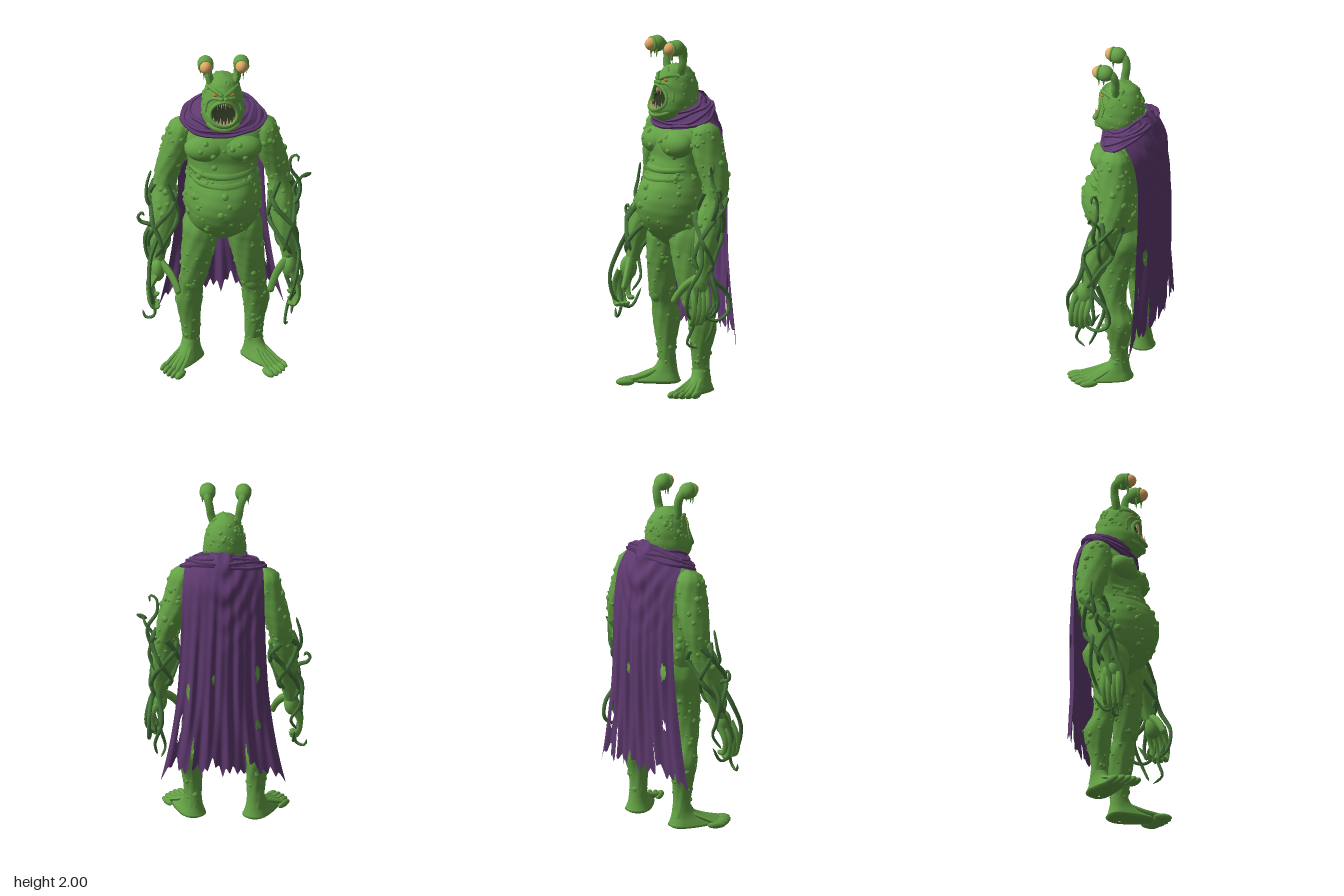
import * as THREE from 'three';
import { mergeGeometries } from 'three/addons/utils/BufferGeometryUtils.js';

const mat = (name, color, side = THREE.FrontSide) => {
  const m = new THREE.MeshStandardMaterial({ color, side });
  m.name = name;
  return m;
};
const V = (x, y, z) => new THREE.Vector3(x, y, z);

// smooth interpolation of rows [key, a, b, ...] with increasing key
function track(rows) {
  const n = rows[0].length - 1;
  const it = new THREE.CubicInterpolant(rows.map(r => r[0]), rows.flatMap(r => r.slice(1)), n);
  return t => Array.from(it.evaluate(t)).slice(0, n);
}

// body form from level rings [y, cx, cz, halfWidth, front, back], listed bottom to top
function loft(rows, { seg = 36, steps = 40, s = 1, bump = 0.015, warp, inside } = {}) {
  const f = track(rows), y0 = rows[0][0], y1 = rows[rows.length - 1][0];
  const at = (y, a, k = 1) => {
    const [cx, cz, rx, rf, rb] = f(y);
    const w = k * (1 + bump * Math.sin(a * 5 + y * 37) * Math.cos(y * 61 - a * 3));
    const rz = Math.cos(a) > 0 ? rf : rb;
    return V(s * cx + Math.max(rx, 0.0005) * w * Math.sin(a), y, cz + Math.max(rz, 0.0005) * w * Math.cos(a));
  };
  const pos = [], main = [], inner = [];
  for (let j = 0; j <= steps; j++) for (let i = 0; i < seg; i++) {
    const p = at(y0 + (y1 - y0) * j / steps, i / seg * Math.PI * 2);
    if (warp) warp(p);
    pos.push(p.x, p.y, p.z);
  }
  for (let j = 0; j < steps; j++) for (let i = 0; i < seg; i++) {
    const a = j * seg + i, b = j * seg + (i + 1) % seg, c = b + seg, d = a + seg;
    const isIn = inside && inside(V(pos[3 * a], pos[3 * a + 1], pos[3 * a + 2]));
    (isIn ? inner : main).push(a, b, c, a, c, d);
  }
  const geo = new THREE.BufferGeometry();
  geo.setAttribute('position', new THREE.Float32BufferAttribute(pos, 3));
  geo.setIndex([...main, ...inner]);
  geo.addGroup(0, main.length, 0);
  if (inner.length) geo.addGroup(main.length, inner.length, 1);
  geo.computeVertexNormals();
  return { geo, at, f };
}

// tapering tube through points, rounded off at its tip
function vine(pts, r0, r1, closed = false, seg = 28, rs = 6) {
  const path = new THREE.CatmullRomCurve3(pts.map(p => Array.isArray(p) ? V(...p) : p), closed);
  const geo = new THREE.TubeGeometry(path, seg, 1, rs, closed), P = geo.attributes.position, p = V();
  for (let i = 0; i < P.count; i++) {
    const t = Math.floor(i / (rs + 1)) / seg, c = path.getPointAt(t);
    const r = closed ? r0 : (r0 + (r1 - r0) * t) * Math.sqrt(Math.max(0.002, Math.min(1, (1 - t) * 14)));
    p.fromBufferAttribute(P, i).sub(c).multiplyScalar(r).add(c);
    P.setXYZ(i, p.x, p.y, p.z);
  }
  geo.computeVertexNormals();
  return geo;
}
const ball = (x, y, z, a, b = a, c = a, w = 16) => new THREE.SphereGeometry(1, w, Math.ceil(w * 0.7)).scale(a, b, c).translate(x, y, z);
const spike = (x, y, z, r, h) => new THREE.ConeGeometry(r, Math.abs(h), 7).rotateX(h < 0 ? Math.PI : 0).translate(x, y, z);

export function createModel() {
  const root = new THREE.Group();
  root.name = 'swampCreature';
  const skin = mat('skinGreen', 0x64a145), vineGreen = mat('vineGreen', 0x47753b);
  const cloth = mat('capePurple', 0x5f3a70, THREE.DoubleSide), dark = mat('mouthDark', 0x29331f);
  const amber = mat('eyeAmber', 0xe0aa66), ember = mat('faceEyeOrange', 0xd0742e), bone = mat('toothBone', 0xcbb37a);
  const add = (name, geo, m) => {
    const mesh = new THREE.Mesh(Array.isArray(geo) ? mergeGeometries(geo) : geo, m);
    mesh.name = name;
    root.add(mesh);
  };
  let seed = 7;
  const rnd = () => (seed = (seed * 16807) % 2147483647) / 2147483647;

  // half-sunk warts scattered over a lofted form
  const warts = (name, form, n, lo, hi, big, ok = () => true) => {
    const list = [];
    for (let i = 0; i < n; i++) {
      const y = lo + (hi - lo) * rnd(), a = rnd() * Math.PI * 2, r = big * (0.45 + 0.55 * rnd() ** 2);
      const p = form.at(y, a), core = form.at(y, a, 0);
      if (!ok(p)) continue;
      p.lerp(core, 0.5 * r / p.distanceTo(core));
      list.push(ball(p.x, p.y, p.z, r, r, r, 8));
    }
    add(name, list, skin);
  };

  // torso with pot belly
  const torso = loft([[0.79, 0, 0, 0.02, 0.02, 0.04], [0.82, 0, 0, 0.07, 0.07, 0.09], [0.86, 0, 0, 0.13, 0.125, 0.13],
    [0.92, 0, 0, 0.185, 0.19, 0.15], [1.0, 0, 0, 0.21, 0.235, 0.14], [1.08, 0, 0, 0.217, 0.248, 0.125],
    [1.16, 0, 0, 0.208, 0.225, 0.115], [1.24, 0, 0, 0.195, 0.17, 0.11], [1.32, 0, 0, 0.2, 0.14, 0.12],
    [1.4, 0, 0, 0.215, 0.14, 0.13], [1.47, 0, 0, 0.215, 0.115, 0.13], [1.53, 0, 0, 0.17, 0.07, 0.11], [1.6, 0, 0, 0.085, 0.06, 0.08]],
  { seg: 52, steps: 54, bump: 0.01 });
  add('torso', torso.geo, skin);
  warts('torsoWarts', torso, 130, 0.88, 1.46, 0.025);
  add('chestMuscles', [1, -1].map(s => ball(s * 0.098, 1.408, 0.075, 0.12, 0.078, 0.083, 28)), skin);
  add('bellyFolds', [1.285, 1.235].map(y => vine([-1.3, -0.8, -0.4, 0, 0.4, 0.8, 1.3].map(a =>
    torso.at(y - 0.03 * Math.cos(a), a, 0.925)), 0.022, 0.022)), skin);
  add('chestWarts', [[0.05, 1.43, 0.143], [-0.06, 1.39, 0.148], [0.12, 1.38, 0.146], [-0.13, 1.42, 0.144], [0.09, 1.45, 0.135], [-0.1, 1.46, 0.13]]
    .map(p => ball(...p, 0.017, 0.017, 0.017, 10)), skin);

  // head with hollow mouth
  const mouthHalf = y => 0.078 - 0.28 * (y - 1.655);
  const mouthD = p => p.z < 0.03 ? 9 : (p.x / mouthHalf(p.y)) ** 2 + ((p.y - 1.667) / 0.07) ** 2;
  const head = loft([[1.515, 0, 0.05, 0.02, 0.03, 0.04], [1.54, 0, 0.035, 0.078, 0.1, 0.1], [1.58, 0, 0.03, 0.11, 0.14, 0.12],
    [1.63, 0, 0.02, 0.121, 0.155, 0.125], [1.7, 0, 0.02, 0.114, 0.125, 0.13], [1.75, 0, 0.02, 0.102, 0.117, 0.122],
    [1.8, 0, 0.02, 0.08, 0.09, 0.098], [1.835, 0, 0.02, 0.048, 0.055, 0.06], [1.852, 0, 0.02, 0, 0, 0]],
  { seg: 84, steps: 68, bump: 0.012, inside: p => mouthD(p) < 1,
    warp: p => { const m = mouthD(p); if (m < 1) p.z -= 0.065 * Math.sqrt(1 - m); } });
  add('head', head.geo, [skin, dark]);
  const onFace = (x, y, out = 0) => {
    const p = head.at(y, Math.asin(Math.max(-1, Math.min(1, x / head.f(y)[2]))));
    p.z += out;
    return p;
  };
  warts('headWarts', head, 90, 1.56, 1.83, 0.019, p => p.z < 0.07 || p.y > 1.8);
  const rim = [];
  for (let i = 0; i < 20; i++) {
    const t = i / 20 * Math.PI * 2, y = 1.667 + 0.07 * Math.sin(t);
    rim.push(onFace(mouthHalf(y) * Math.cos(t), y));
  }
  add('lips', vine(rim, 0.011, 0.011, true, 60), skin);
  add('chinFold', vine([-0.09, -0.05, 0, 0.05, 0.09].map(x => onFace(x, 1.567 + 3 * x * x)), 0.016, 0.012), skin);
  const teeth = [];
  for (let i = -3; i <= 3; i++) {
    const lo = onFace(i * 0.019, 1.612), up = onFace(i * 0.012, 1.715), h = i % 2 ? 0.046 : 0.028;
    teeth.push(spike(lo.x, 1.608 + h / 2, lo.z - 0.008, 0.008, h), spike(up.x, 1.724 - h / 2, up.z - 0.01, 0.006, -h));
  }
  add('teeth', teeth, bone);
  add('nose', [1, -1].map(s => ball(s * 0.013, 1.752, 0.137, 0.016, 0.013, 0.014)), skin);
  for (const s of [1, -1]) {
    const side = s > 0 ? 'left' : 'right';
    const e = onFace(s * 0.046, 1.768);
    add(side + 'FaceEye', ball(e.x, e.y, e.z, 0.016, 0.01, 0.01), ember);
    add(side + 'Brow', vine([onFace(s * 0.082, 1.79), onFace(s * 0.05, 1.79, 0.006), onFace(s * 0.004, 1.768, 0.008)], 0.012, 0.012), skin);
    add(side + 'Cheek', vine([onFace(s * 0.02, 1.75), onFace(s * 0.06, 1.746), onFace(s * 0.088, 1.71), onFace(s * 0.1, 1.65)], 0.01, 0.008), skin);

    // eye stalk, hood and eyeball
    add(side + 'EyeStalk', [vine([[s * 0.06, 1.79, 0.03], [s * 0.078, 1.84, 0.03], [s * 0.085, 1.89, 0.025], [s * 0.097, 1.94, 0.035], [s * 0.1, 1.965, 0.07]], 0.025, 0.023),
      ball(s * 0.1, 1.953, 0.082, 0.045, 0.047, 0.05, 24), spike(s * 0.075, 1.9, 0.1, 0.009, -0.05),
      spike(s * 0.11, 1.895, 0.115, 0.008, -0.06), spike(s * 0.128, 1.905, 0.08, 0.008, -0.04),
      new THREE.TorusGeometry(0.036, 0.008, 8, 28).translate(s * 0.1, 1.953, 0.115)], skin);
    add(side + 'Eyeball', ball(s * 0.1, 1.952, 0.118, 0.034, 0.037, 0.04, 24), amber);

    // leg and foot
    const leg = loft([[0.07, 0.175, -0.045, 0.046, 0.045, 0.05], [0.15, 0.175, -0.035, 0.049, 0.05, 0.046], [0.25, 0.18, -0.03, 0.056, 0.055, 0.058],
      [0.33, 0.186, -0.03, 0.068, 0.066, 0.08], [0.4, 0.187, -0.025, 0.076, 0.07, 0.093], [0.47, 0.178, -0.01, 0.068, 0.062, 0.07], [0.53, 0.167, 0.005, 0.075, 0.07, 0.07],
      [0.6, 0.155, 0.01, 0.08, 0.08, 0.078], [0.7, 0.142, 0.01, 0.09, 0.097, 0.09], [0.8, 0.126, 0.01, 0.1, 0.105, 0.12],
      [0.9, 0.115, 0.005, 0.105, 0.11, 0.155], [1.0, 0.11, 0, 0.07, 0.06, 0.1]], { s, bump: 0.04 });
    add(side + 'Leg', leg.geo, skin);
    warts(side + 'LegWarts', leg, 70, 0.12, 0.85, 0.02);
    add(side + 'Knee', ball(s * 0.168, 0.525, 0.035, 0.05, 0.055, 0.042), skin);
    const foot = loft([[0, 0, 0, 0.005, 0.005, 0.005], [0.012, 0, 0, 0.064, 0.195, 0.068], [0.035, 0, 0, 0.066, 0.195, 0.068],
      [0.065, 0, 0, 0.056, 0.13, 0.06], [0.1, 0, 0, 0.05, 0.075, 0.054], [0.14, 0, 0, 0.047, 0.05, 0.05]], { steps: 14, bump: 0 }).geo;
    const toes = [-2, -1, 0, 1, 2].map(i => ball(i * 0.031, 0.021, 0.228 - 0.012 * i - 0.004 * i * i, i < -1 ? 0.022 : 0.016, 0.02, 0.052, 12));
    toes.push(...[-2, -1, 0, 1, 2].map(i => vine([[i * 0.012, 0.09, 0.05], [i * 0.022, 0.055, 0.13], [i * 0.03, 0.025, 0.225 - 0.012 * i]], 0.013, 0.011)));
    const toeGeo = mergeGeometries(toes);
    for (const g of [foot, toeGeo]) {
      g.rotateY(0.55).translate(0.175, 0, -0.035);
      if (s > 0) continue;
      g.scale(-1, 1, 1);
      const ix = g.index.array;
      for (let i = 0; i < ix.length; i += 3) [ix[i], ix[i + 1]] = [ix[i + 1], ix[i]];
      g.computeVertexNormals();
    }
    add(side + 'Foot', foot, skin);
    add(side + 'Toes', toeGeo, skin);

    // arm and hand
    const arm = loft([[0.68, 0.368, 0.08, 0.034, 0.036, 0.036], [0.76, 0.36, 0.06, 0.046, 0.048, 0.046], [0.85, 0.35, 0.045, 0.062, 0.066, 0.065],
      [0.95, 0.335, 0.02, 0.071, 0.074, 0.074], [1.05, 0.325, -0.01, 0.072, 0.075, 0.075], [1.12, 0.32, -0.035, 0.064, 0.068, 0.07],
      [1.2, 0.307, -0.048, 0.07, 0.08, 0.077], [1.3, 0.277, -0.045, 0.08, 0.095, 0.087], [1.4, 0.252, -0.035, 0.078, 0.098, 0.088],
      [1.47, 0.242, -0.03, 0.068, 0.088, 0.082], [1.52, 0.235, -0.03, 0.053, 0.062, 0.06], [1.55, 0.225, -0.03, 0.005, 0.005, 0.005]], { s, bump: 0.04 });
    add(side + 'Arm', arm.geo, skin);
    warts(side + 'ArmWarts', arm, 65, 0.98, 1.51, 0.023);
    const hand = [ball(s * 0.368, 0.645, 0.1, 0.042, 0.07, 0.05),
      vine([[s * 0.35, 0.69, 0.1], [s * 0.305, 0.65, 0.14], [s * 0.27, 0.59, 0.18], [s * 0.255, 0.54, 0.205]], 0.024, 0.018)];
    for (let i = 0; i < 4; i++) {
      const z = 0.06 + i * 0.03, l = i === 0 ? 0.03 : 0;
      hand.push(vine([[s * 0.375, 0.64, z], [s * 0.41, 0.57, z + 0.01], [s * 0.415, 0.49 + l, z + 0.015], [s * 0.39, 0.44 + l, z + 0.015], [s * 0.355, 0.45 + l, z + 0.01]], 0.02, 0.013));
    }
    add(side + 'Hand', hand, skin);

    // vines wound round the forearm
    add(side + 'ForearmVines', [0, 1, 2, 3, 4, 5].map(k => vine([0, 1, 2, 3, 4, 5, 6].map(i =>
      arm.at(1.16 - 0.015 * k - 0.065 * i, s * (k * 1.05 + i * (k % 2 ? 0.6 : -0.45)), 1.04 + 0.16 * (i % 2))), 0.015, 0.012)), vineGreen);
  }

  // loose curling vines
  const loose = {
    left: [[[0.34, 0.95, 0.02], [0.42, 1.05, 0.03], [0.43, 1.14, 0.02], [0.38, 1.23, 0.02], [0.385, 1.31, 0.03], [0.42, 1.325, 0.04], [0.42, 1.28, 0.04]],
      [[0.37, 0.85, 0], [0.42, 0.98, 0], [0.4, 1.1, 0], [0.44, 1.16, 0], [0.46, 1.2, 0.03]],
      [[0.37, 0.8, 0.09], [0.41, 0.68, 0.03], [0.42, 0.6, -0.05], [0.42, 0.5, -0.06], [0.42, 0.45, 0.02], [0.41, 0.48, 0.09], [0.4, 0.55, 0.1]],
      [[0.37, 0.78, 0.05], [0.42, 0.67, 0.04], [0.44, 0.54, 0.02], [0.4, 0.47, 0.05], [0.38, 0.53, 0.07]],
      [[0.36, 0.72, 0.1], [0.41, 0.56, 0.15], [0.36, 0.43, 0.13], [0.34, 0.32, 0.16], [0.36, 0.29, 0.1]],
      [[0.37, 0.72, 0.03], [0.35, 0.56, -0.01], [0.39, 0.41, 0.03], [0.38, 0.32, 0.07]],
      [[0.37, 0.9, 0.09], [0.42, 0.76, 0.12], [0.4, 0.62, 0.19], [0.37, 0.48, 0.17], [0.38, 0.45, 0.08], [0.39, 0.55, 0]]],
    right: [[[-0.35, 0.96, 0], [-0.42, 1.04, 0.02], [-0.425, 1.13, 0], [-0.4, 1.23, 0]],
      [[-0.37, 0.86, 0.03], [-0.41, 0.91, 0.05], [-0.46, 0.93, 0.05], [-0.475, 0.96, 0.05], [-0.455, 0.985, 0.05], [-0.44, 0.965, 0.05]],
      [[-0.38, 0.72, 0.08], [-0.42, 0.56, 0.12], [-0.39, 0.45, 0.13], [-0.39, 0.38, 0.15], [-0.435, 0.365, 0.14], [-0.455, 0.41, 0.13]],
      [[-0.37, 0.92, 0], [-0.43, 0.82, 0.01], [-0.42, 0.68, 0], [-0.37, 0.58, 0.02], [-0.4, 0.5, 0.06]],
      [[-0.37, 0.85, 0.1], [-0.41, 0.74, 0.14], [-0.42, 0.6, 0.19], [-0.4, 0.47, 0.17], [-0.38, 0.42, 0.08], [-0.39, 0.52, 0]]],
  };
  for (const k in loose) add(k + 'LooseVines', loose[k].map(p => vine(p, 0.015, 0.007)), vineGreen);
  add('leaf', ball(0, 0, 0, 0.032, 0.014, 0.005, 12).rotateZ(0.4).translate(0.465, 1.195, 0.035), vineGreen);

  // cloak mantle, low in front and raised behind, with rolled folds
  const tilt = p => { p.y -= 0.42 * p.z; return p; };
  const mantle = loft([[1.535, 0, -0.02, 0.238, 0.128, 0.15], [1.56, 0, -0.02, 0.22, 0.128, 0.148], [1.59, 0, -0.01, 0.17, 0.12, 0.138], [1.615, 0, 0, 0.12, 0.112, 0.12]],
    { seg: 64, steps: 10, bump: 0.03, warp: tilt });
  add('mantle', mantle.geo, cloth);
  add('mantleFolds', [1.542, 1.565, 1.588, 1.61].map((y, k) => vine(Array.from({ length: 24 }, (_, i) => {
    const a = i / 24 * Math.PI * 2;
    return tilt(mantle.at(y + 0.007 * Math.sin(a * 3 + k * 2), a));
  }), 0.011, 0.011, true, 72)), cloth);

  // tattered cape: rows are [y, halfWidth, backZ, edgeBow]
  const shape = track([[0.2, 0.365, -0.205, 0.055], [0.5, 0.3, -0.218, 0.06], [0.8, 0.258, -0.232, 0.07], [1.1, 0.24, -0.24, 0.075],
    [1.4, 0.23, -0.225, 0.075], [1.5, 0.226, -0.222, 0.1], [1.58, 0.212, -0.198, 0.13], [1.64, 0.17, -0.17, 0.13], [1.685, 0.11, -0.135, 0.09]]);
  const tri = t => Math.abs(((t % 1) + 1) % 1 - 0.5) * 2;
  const hem = u => 0.32 - 0.05 * u ** 4 + 0.09 * tri(u * 3 + 0.5) * (0.7 + 0.3 * Math.sin(u * 9)) + 0.05 * tri(u * 8 + 0.5);
  const holes = [[-0.72, 0.66, 0.05, 0.03], [0.75, 0.85, 0.04, 0.05], [0.2, 0.95, 0.03, 0.03], [-0.8, 0.98, 0.04, 0.05], [0.84, 0.62, 0.025, 0.09], [0.55, 0.42, 0.028, 0.15], [-0.45, 0.42, 0.028, 0.12]];
  const nu = 110, nv = 64, pos = [], idx = [];
  for (let j = 0; j <= nv; j++) for (let i = 0; i <= nu; i++) {
    const u = i / nu * 2 - 1, v = j / nv, top = 1.685 - 0.07 * u * u, y = top + (hem(u) - top) * v, [w, z, bow] = shape(y);
    const swag = 0.012 * Math.sin((y - 0.4 * Math.abs(u) ** 1.5) * 38) * Math.max(0, 1 - v * 2.2) * (1 - u * u);
    const pleat = (0.008 * Math.sin(u * 17 + Math.sin(y * 5)) + 0.005 * Math.sin(u * 31 + y * 3)) * Math.min(1, v * 1.6);
    pos.push(u * w, y, z + bow * u * u + swag + pleat);
    const torn = holes.some(h => ((u - h[0]) / h[2]) ** 2 + ((y - h[1]) / h[3]) ** 2 < 1);
    if (i < nu && j < nv && !torn) {
      const a = j * (nu + 1) + i, b = a + nu + 1;
      idx.push(a, b, a + 1, b, b + 1, a + 1);
    }
  }
  const cape = new THREE.BufferGeometry();
  cape.setAttribute('position', new THREE.Float32BufferAttribute(pos, 3));
  cape.setIndex(idx);
  cape.computeVertexNormals();
  add('cape', cape, cloth);
  return root;
}
